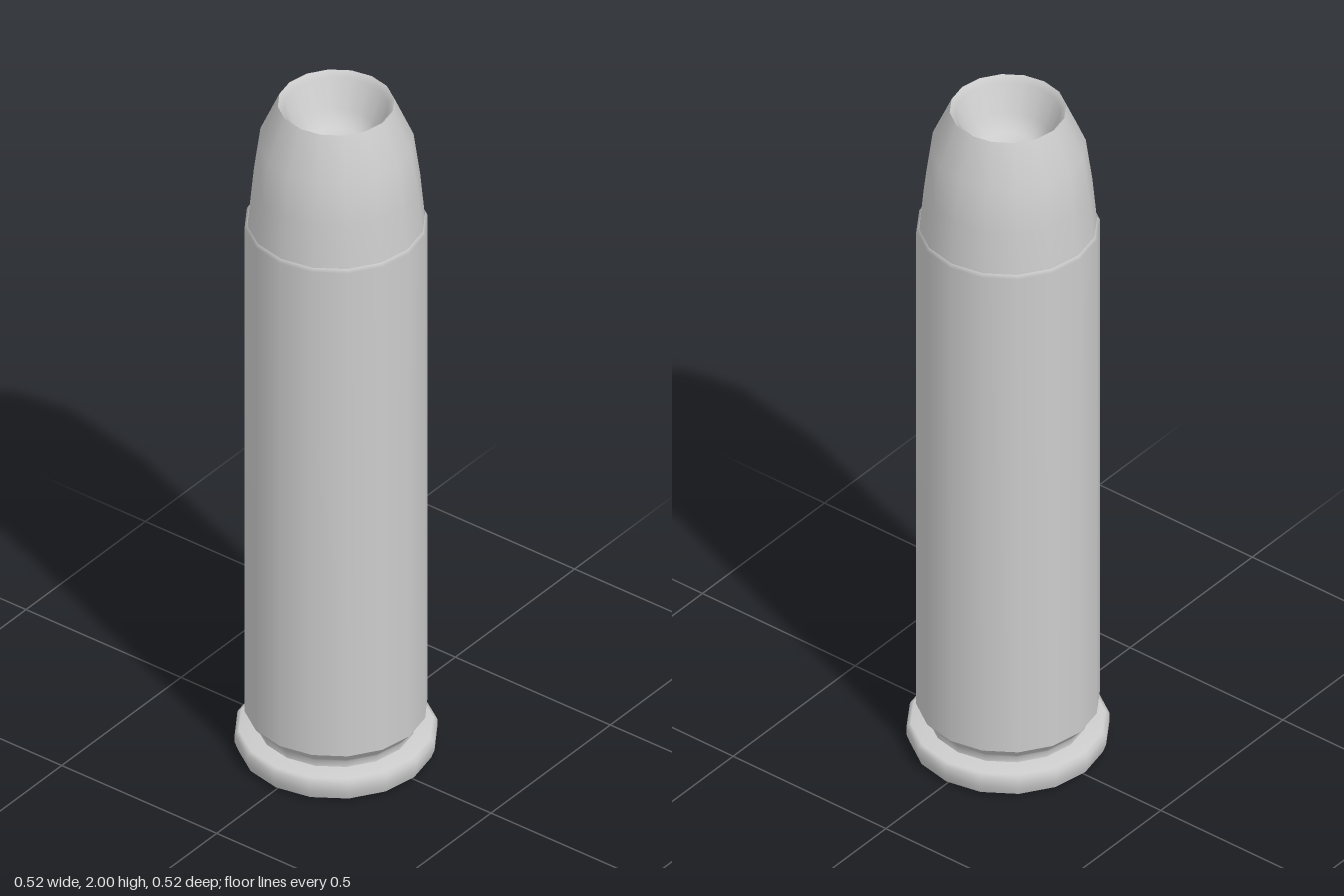
import * as THREE from 'three';

const SIDES = 16;

export function createModel() {
  const group = new THREE.Group();
  const material = new THREE.MeshStandardMaterial({ color: 0xcccccc, side: THREE.DoubleSide });

  // Revolves a [radius, height] profile, listed from the base upwards
  const turn = (name, profile) => {
    const points = profile.map(([r, y]) => new THREE.Vector2(r, y));
    const mesh = new THREE.Mesh(new THREE.LatheGeometry(points, SIDES), material);
    mesh.name = name;
    group.add(mesh);
  };

  // Flat underside
  turn('base', [[0, 0.003], [0.235, 0.003], [0.252, 0.01]]);

  // Flange with rounded edge, and the groove above it
  turn('rim', [[0.252, 0.01], [0.261, 0.035], [0.261, 0.062], [0.25, 0.07], [0.205, 0.076]]);
  turn('extractorGroove', [[0.205, 0.076], [0.204, 0.092], [0.215, 0.105], [0.236, 0.13]]);

  // Long straight case
  turn('case', [[0.236, 0.13], [0.236, 1.63], [0.23, 1.64]]);

  // Tapered nose
  turn('bullet', [[0.23, 1.62], [0.217, 1.76], [0.2, 1.885], [0.15, 2]]);

  // Shallow hollow in the tip
  turn('hollowTip', [[0.15, 2], [0.135, 1.985], [0.105, 1.91], [0.075, 1.87], [0, 1.86]]);

  return group;
}
